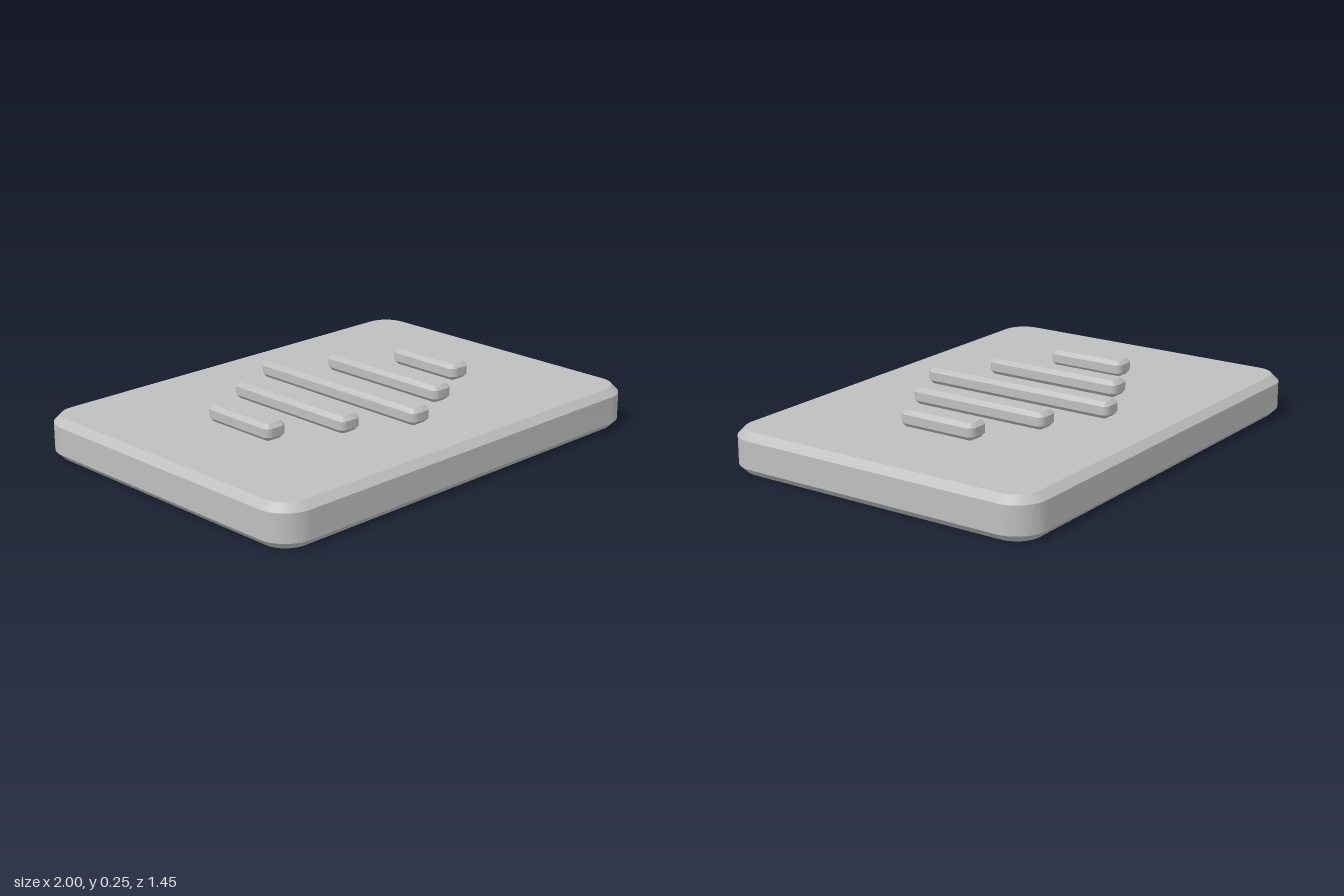
import * as THREE from 'three';
import { toCreasedNormals } from 'three/addons/utils/BufferGeometryUtils.js';

// Slab with rounded corners and chamfered top and bottom edges, standing on y = 0
function slab(width, depth, height, radius, bevel) {
  const x = width / 2, z = depth / 2, r = radius;
  const outline = new THREE.Shape();
  outline.absarc(x - r, z - r, r, 0, Math.PI / 2);
  outline.absarc(-x + r, z - r, r, Math.PI / 2, Math.PI);
  outline.absarc(-x + r, -z + r, r, Math.PI, Math.PI * 1.5);
  outline.absarc(x - r, -z + r, r, Math.PI * 1.5, Math.PI * 2);
  const geometry = new THREE.ExtrudeGeometry(outline, {
    depth: height - 2 * bevel,
    bevelEnabled: true,
    bevelThickness: bevel,
    bevelSize: bevel,
    bevelOffset: -bevel,
    bevelSegments: 1,
    curveSegments: 10,
  });
  geometry.translate(0, 0, bevel);
  geometry.rotateX(-Math.PI / 2);
  return toCreasedNormals(geometry, 0.5);
}

export function createModel() {
  const group = new THREE.Group();
  const grey = new THREE.MeshStandardMaterial({ color: 0xbfbfbf });
  grey.name = 'grey';

  // Base plate
  const baseHeight = 0.177;
  const base = new THREE.Mesh(slab(2, 1.446, baseHeight, 0.13, 0.03), grey);
  base.name = 'basePlate';
  group.add(base);

  // Five raised bars, longest in the middle
  const lengths = [0.36, 0.644, 0.902, 0.644, 0.36];
  lengths.forEach((length, i) => {
    const bar = new THREE.Mesh(slab(0.106, length, 0.07, 0.03, 0.017), grey);
    bar.name = `raisedBar${i + 1}`;
    bar.position.set((i - 2) * 0.265, baseHeight, 0);
    group.add(bar);
  });

  return group;
}
